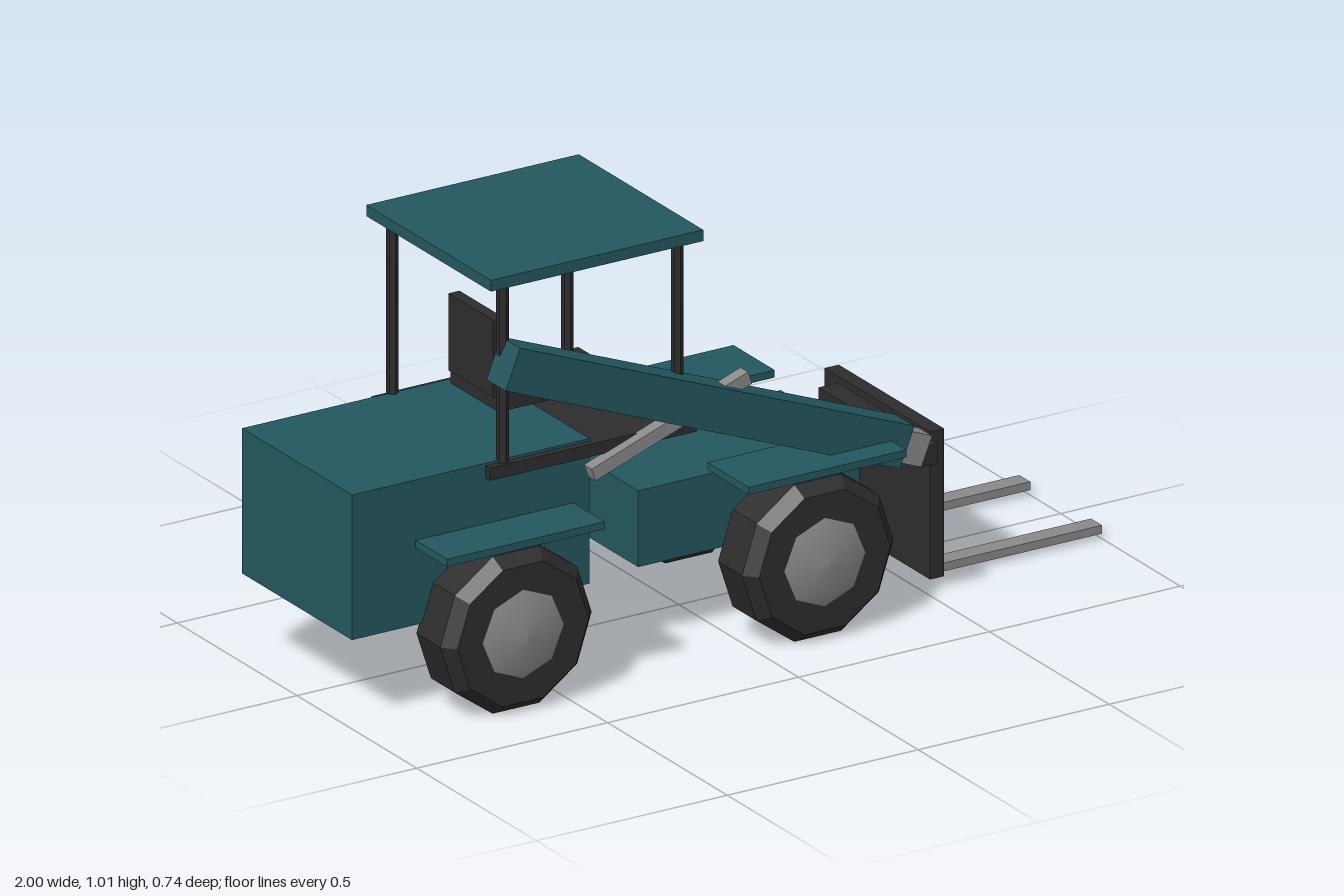
import * as THREE from 'three';

export function createModel() {
  const model = new THREE.Group();
  model.name = 'telehandler';

  const mat = (name, color) => {
    const m = new THREE.MeshStandardMaterial({ color });
    m.name = name;
    return m;
  };
  const teal = mat('teal paint', 0x23575f);
  const dark = mat('dark rubber and frame', 0x2d2d2d);
  const steel = mat('grey steel', 0x8a8a8a);

  const add = (name, geometry, material, x = 0, y = 0, z = 0) => {
    const mesh = new THREE.Mesh(geometry, material);
    mesh.name = name;
    mesh.position.set(x, y, z);
    model.add(mesh);
    return mesh;
  };
  // Box given by its limits on each axis
  const box = (name, material, [x0, x1], [y0, y1], [z0, z1]) =>
    add(name, new THREE.BoxGeometry(x1 - x0, y1 - y0, z1 - z0), material,
      (x0 + x1) / 2, (y0 + y1) / 2, (z0 + z1) / 2);
  // Box running between two points in the xy plane
  const beam = (name, material, [x0, y0], [x1, y1], height, depth, z) => {
    const length = Math.hypot(x1 - x0, y1 - y0);
    const mesh = add(name, new THREE.BoxGeometry(length, height, depth), material,
      (x0 + x1) / 2, (y0 + y1) / 2, z);
    mesh.rotation.z = Math.atan2(y1 - y0, x1 - x0);
  };

  // Two body halves
  box('rearBody', teal, [-1, -0.378], [0.215, 0.563], [-0.23, 0.23]);
  box('frontBody', teal, [-0.21, 0.37], [0.195, 0.378], [-0.165, 0.165]);

  // Cab
  box('cabFloor', dark, [-0.65, -0.108], [0.527, 0.557], [-0.248, 0.248]);
  box('cabRoof', teal, [-0.655, -0.099], [0.986, 1.013], [-0.26, 0.26]);
  const post = new THREE.CylinderGeometry(0.014, 0.014, 0.435, 6).toNonIndexed();
  post.computeVertexNormals();
  for (const x of [-0.606, -0.148])
    for (const z of [-0.23, 0.23]) add('cabPost', post, dark, x, 0.77, z);
  box('seat', dark, [-0.535, -0.35], [0.615, 0.661], [-0.1, 0.1]);
  box('seatBack', dark, [-0.545, -0.516], [0.65, 0.835], [-0.093, 0.093]);

  // Wheels: ten-sided bevelled tyres with domed hubs
  const v = (x, y) => new THREE.Vector2(x, y);
  const tyre = new THREE.LatheGeometry(
    [v(0, -0.08), v(0.172, -0.08), v(0.198, -0.05), v(0.198, 0.05), v(0.172, 0.08), v(0, 0.08)],
    10, Math.PI / 2).rotateX(Math.PI / 2).toNonIndexed();
  tyre.computeVertexNormals();
  const hub = new THREE.LatheGeometry(
    [v(0.112, 0.078), v(0.062, 0.095), v(0, 0.101)], 8).rotateX(Math.PI / 2);
  for (const x of [-0.627, 0.163])
    for (const side of [-1, 1]) {
      add('tyre', tyre, dark, x, 0.19, side * 0.27);
      const cap = add('wheelHub', hub, steel, x, 0.19, side * 0.27);
      if (side < 0) cap.rotation.y = Math.PI;
      add('fender', new THREE.BoxGeometry(0.413, 0.018, 0.172), teal, x, 0.409, side * 0.275);
    }

  // Lifting boom, its inner section and the hydraulic strut
  beam('boom', teal, [-0.622, 0.805], [0.411, 0.393], 0.102, 0.08, 0.259);
  beam('boomExtension', steel, [0.2, 0.477], [0.471, 0.365], 0.075, 0.055, 0.257);
  beam('liftStrut', steel, [-0.395, 0.494], [0.015, 0.638], 0.032, 0.032, 0.258);

  // Fork carriage
  box('carriageBracket', dark, [0.46, 0.51], [0.323, 0.37], [-0.15, 0.27]);
  box('carriagePlate', dark, [0.52, 0.557], [0.025, 0.379], [-0.22, 0.22]);
  for (const z of [-0.15, 0.15]) {
    const span = [z - 0.023, z + 0.023];
    box('forkShank', steel, [0.555, 0.575], [0.015, 0.303], span);
    box('forkTine', steel, [0.555, 1], [0.014, 0.034], span);
  }

  return model;
}
